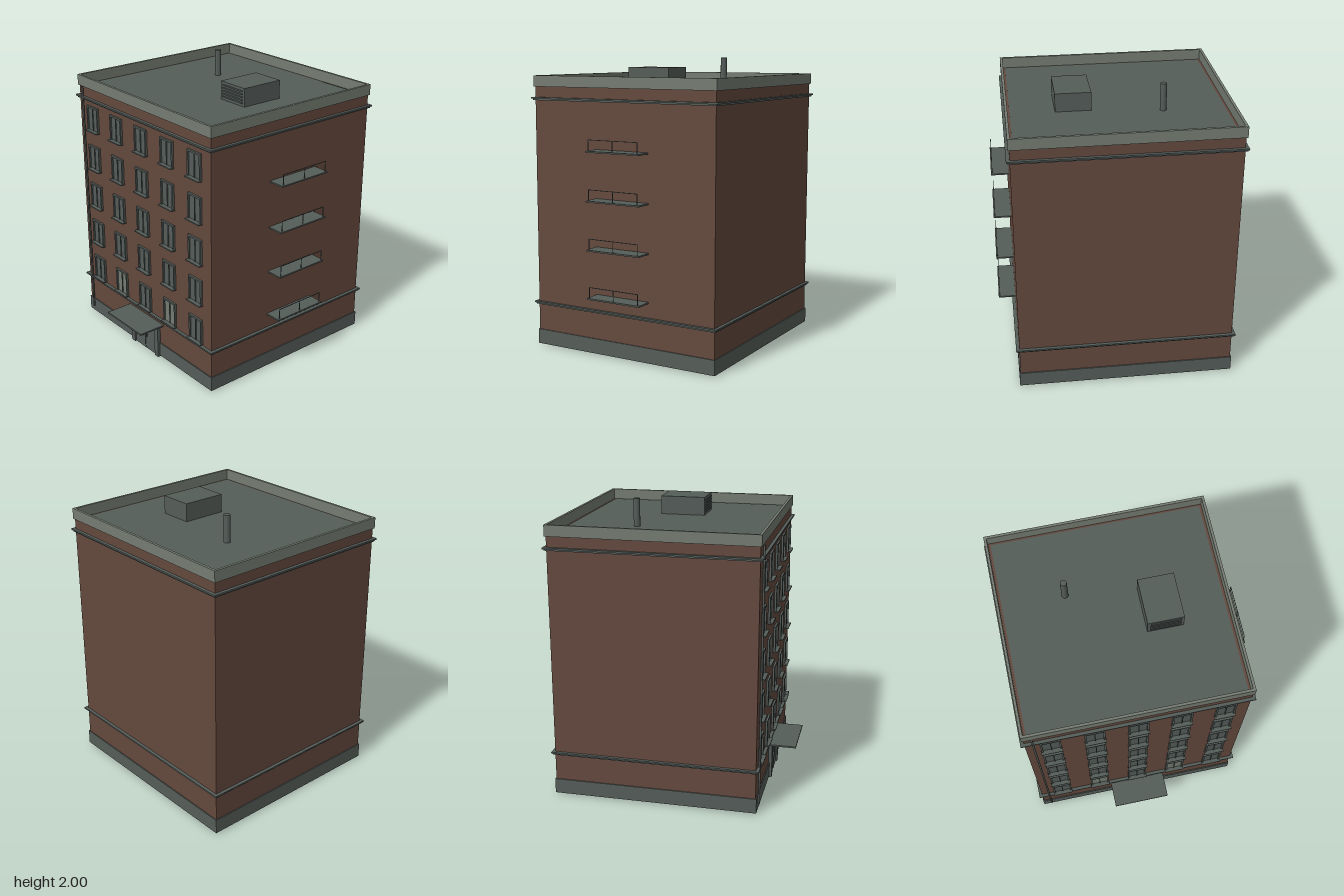
import * as THREE from 'three';

const material = (name, color) => {
  const m = new THREE.MeshStandardMaterial({ color });
  m.name = name;
  return m;
};

export function createModel() {
  const brick = material('brick brown', 0x64493e);
  const stone = material('slate grey', 0x555d59);
  const pale = material('pale grey', 0x757c72);

  const model = new THREE.Group();
  model.name = 'apartmentBlock';

  // Box given by its lower and upper limits on each axis
  const box = (parent, name, mat, x0, x1, y0, y1, z0, z1) => {
    const mesh = new THREE.Mesh(new THREE.BoxGeometry(x1 - x0, y1 - y0, z1 - z0), mat);
    mesh.position.set((x0 + x1) / 2, (y0 + y1) / 2, (z0 + z1) / 2);
    mesh.name = name;
    parent.add(mesh);
    return mesh;
  };
  const tube = (parent, name, mat, r, x, y0, y1, z, sides = 12) => {
    const mesh = new THREE.Mesh(new THREE.CylinderGeometry(r, r, y1 - y0, sides), mat);
    mesh.position.set(x, (y0 + y1) / 2, z);
    mesh.name = name;
    parent.add(mesh);
  };
  const group = (name, x = 0, y = 0, z = 0) => {
    const g = new THREE.Group();
    g.name = name;
    g.position.set(x, y, z);
    model.add(g);
    return g;
  };

  // Wall limits
  const X0 = -0.783, X1 = 0.686, Z0 = -0.778, Z1 = 0.609;

  // Rectangular ring around the walls: outer and inner offsets from the wall face
  const ring = (name, mat, outer, inner, y0, y1) => {
    const rect = (T, o) => {
      const p = new T();
      p.moveTo(X0 - o, -Z1 - o);
      p.lineTo(X1 + o, -Z1 - o);
      p.lineTo(X1 + o, -Z0 + o);
      p.lineTo(X0 - o, -Z0 + o);
      p.closePath();
      return p;
    };
    const shape = rect(THREE.Shape, outer);
    shape.holes.push(rect(THREE.Path, inner));
    const geo = new THREE.ExtrudeGeometry(shape, { depth: y1 - y0, bevelEnabled: false });
    geo.rotateX(-Math.PI / 2);
    const mesh = new THREE.Mesh(geo, mat);
    mesh.position.y = y0;
    mesh.name = name;
    model.add(mesh);
  };

  // Main body, plinth, roof and parapet
  box(model, 'walls', brick, X0, X1, 0.008, 1.81, Z0, Z1);
  ring('plinth', stone, 0.007, -0.01, 0.009, 0.112);
  box(model, 'roof', stone, -0.758, 0.661, 1.8, 1.813, -0.755, 0.586);
  ring('parapet', pale, 0.009, -0.009, 1.81, 1.885);

  // Stepped string courses
  for (const y of [0.295, 1.718]) {
    ring('corniceLower', stone, 0.013, -0.01, y, y + 0.01);
    ring('corniceUpper', stone, 0.022, -0.01, y + 0.01, y + 0.021);
  }

  // Windows: five columns by five floors, two of them with pale panes
  for (let row = 0; row < 5; row++) {
    for (let col = 0; col < 5; col++) {
      const lit = row === 0 && (col === 1 || col === 3);
      const w = group('window', -0.622 + col * 0.2875, 0.418 + row * 0.2935, Z1);
      box(w, 'glass', lit ? pale : stone, -0.06, 0.06, -0.085, 0.085, -0.002, 0.004);
      for (const s of [-1, 1]) {
        const x = s * 0.061;
        box(w, 'frameSide', stone, x - 0.006, x + 0.006, -0.087, 0.087, -0.002, 0.014);
      }
      box(w, 'frameTop', stone, -0.067, 0.067, 0.079, 0.091, -0.002, 0.014);
      box(w, 'mullion', stone, -0.003, 0.003, -0.085, 0.08, -0.002, 0.01);
      box(w, 'sill', stone, -0.071, 0.071, -0.094, -0.086, -0.002, 0.033);
    }
  }

  // Entrance with double doors and canopy
  const entrance = group('entrance', -0.049, 0, Z1);
  box(entrance, 'doors', stone, -0.122, 0.122, 0.002, 0.236, -0.002, 0.014);
  for (const s of [-1, 1]) {
    const x = s * 0.141;
    box(entrance, 'doorPost', stone, x - 0.02, x + 0.02, 0, 0.26, -0.002, 0.024);
    box(entrance, 'handle', stone, s * 0.018 - 0.003, s * 0.018 + 0.003, 0.1, 0.14, 0.014, 0.022);
  }
  box(entrance, 'doorLintel', stone, -0.121, 0.121, 0.236, 0.26, -0.002, 0.024);
  box(entrance, 'doorSeam', stone, -0.002, 0.002, 0.002, 0.236, 0.01, 0.018);
  box(entrance, 'canopy', stone, -0.202, 0.202, 0.26, 0.271, -0.002, 0.196);

  // Balconies on the left side with thin railings
  for (let i = 0; i < 4; i++) {
    const b = group('balcony', X1, 0.418 + i * 0.3275, -0.086);
    box(b, 'balconySlab', stone, -0.002, 0.119, -0.005, 0.005, -0.204, 0.204);
    box(b, 'topRail', stone, 0.108, 0.112, 0.076, 0.08, -0.19, 0.19);
    for (const z of [-0.188, 0, 0.188]) {
      box(b, 'railPost', stone, 0.108, 0.112, 0.004, 0.078, z - 0.002, z + 0.002);
    }
  }

  // Drainpipe down the front
  tube(model, 'drainpipe', stone, 0.007, -0.728, 0.055, 1.81, 0.624);

  // Rooftop unit with a louvred front, and the vent pipe
  const unit = group('roofUnit', 0.245, 1.81, -0.09);
  box(unit, 'unitBody', stone, -0.12, 0.12, 0, 0.13, -0.16, 0.154);
  for (let i = 0; i < 5; i++) {
    const y = 0.022 + i * 0.02;
    box(unit, 'louvre', stone, -0.1, 0.1, y, y + 0.009, 0.15, 0.16);
  }
  tube(model, 'ventPipe', stone, 0.022, -0.343, 1.81, 2, -0.297, 16);

  return model;
}
